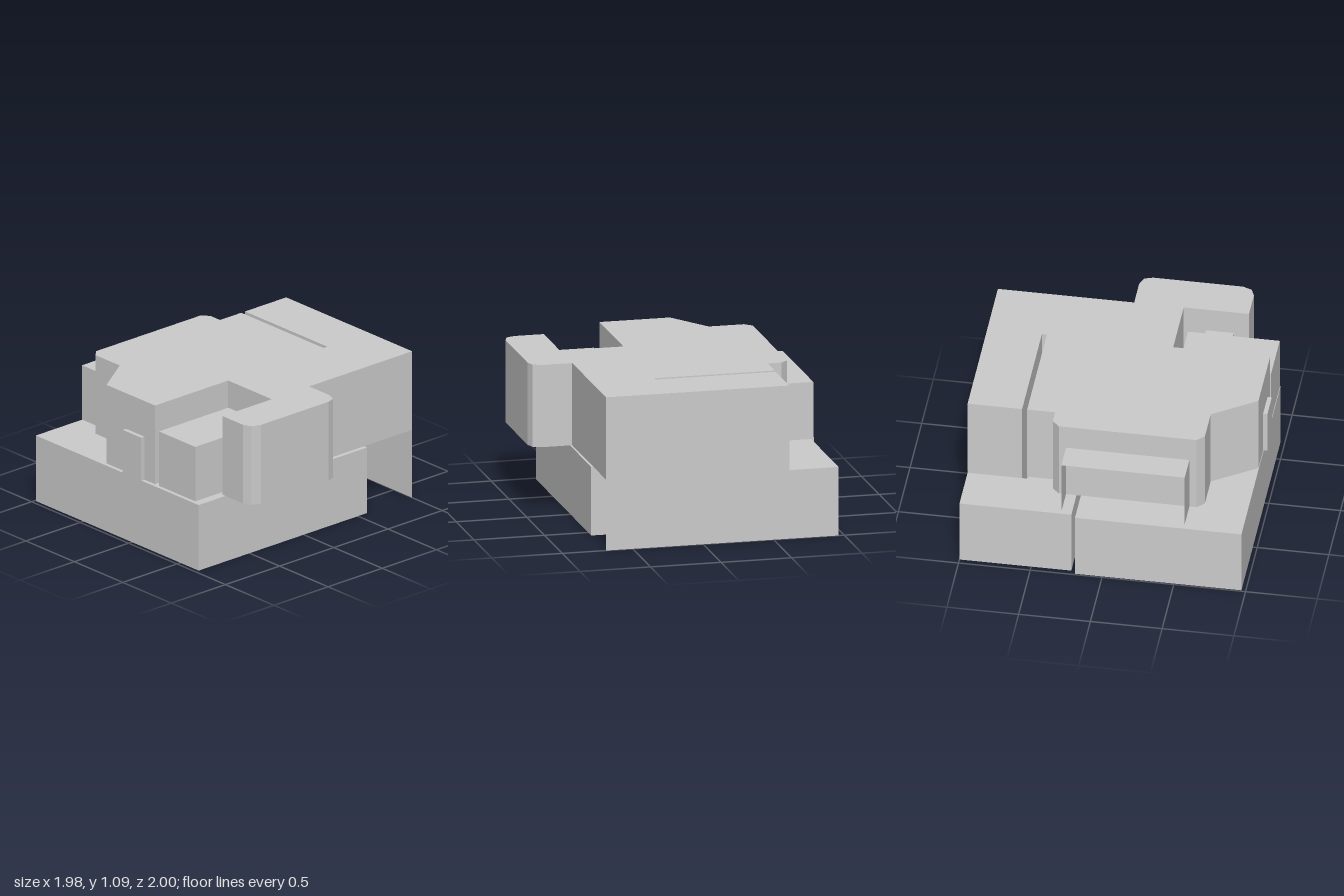
import * as THREE from 'three';

const FLOOR = 0.505, ROOF = 1.09, LEDGE = 0.91;

export function createModel() {
  const model = new THREE.Group();
  const material = new THREE.MeshStandardMaterial({ color: 0xcccccc, flatShading: true });
  const sheetMaterial = material.clone();
  sheetMaterial.side = THREE.DoubleSide;

  const add = (name, geometry, mat = material) => {
    const mesh = new THREE.Mesh(geometry, mat);
    mesh.name = name;
    model.add(mesh);
    return mesh;
  };
  // Upright prism over a floor plan of [x, z] corners
  const storey = (name, plan, y0, y1) => {
    const shape = new THREE.Shape(plan.map(([x, z]) => new THREE.Vector2(x, -z)));
    const geometry = new THREE.ExtrudeGeometry(shape, { depth: y1 - y0, bevelEnabled: false });
    add(name, geometry.rotateX(-Math.PI / 2).translate(0, y0, 0));
  };
  // Box given by its limits
  const block = (name, x0, x1, y0, y1, z0, z1) => {
    const geometry = new THREE.BoxGeometry(x1 - x0, y1 - y0, z1 - z0);
    add(name, geometry.translate((x0 + x1) / 2, (y0 + y1) / 2, (z0 + z1) / 2));
  };
  // Thin upright sheet facing z
  const sheet = (name, x0, x1, y0, y1, z) => {
    const geometry = new THREE.PlaneGeometry(x1 - x0, y1 - y0);
    add(name, geometry.translate((x0 + x1) / 2, (y0 + y1) / 2, z), sheetMaterial);
  };

  // Ground floor, with a narrow slit running in from the side
  storey('groundFloor', [
    [-0.99, 0.97], [0.69, 0.97], [0.69, -0.585], [-0.61, -0.585], [-0.61, -1],
    [-0.96, -1], [-0.96, -0.22], [0.37, -0.22], [0.37, -0.19], [-0.99, -0.19],
  ], 0, 0.488);

  // Upper floor with bay, porch recess, chamfered corners and stair slot
  storey('upperFloor', [
    [-0.61, -1], [0.69, -1], [0.69, -0.05], [0.9, -0.05], [0.965, -0.025], [0.985, 0.035],
    [0.985, 0.66], [0.96, 0.725], [0.9, 0.75], [0.69, 0.75], [0.69, 0.295], [0.24, 0.295],
    [0.24, 0.97], [-0.26, 0.97], [-0.46, 0.67], [-0.71, 0.67], [-0.76, 0.62], [-0.76, -0.34],
    [-0.71, -0.39], [-0.61, -0.39], [-0.61, -0.585], [0.24, -0.585], [0.24, -0.62], [-0.61, -0.62],
  ], FLOOR, ROOF);

  // Stair wedge under the upper floor, sloping down towards -x
  const wedge = new THREE.Shape([
    new THREE.Vector2(-0.61, 0), new THREE.Vector2(0.24, FLOOR), new THREE.Vector2(-0.61, FLOOR),
  ]);
  add('stairWedge', new THREE.ExtrudeGeometry(wedge, { depth: 0.375, bevelEnabled: false })
    .translate(0, 0, -0.997));
  sheet('lowerBackWall', -0.61, 0.69, 0, FLOOR, -1);

  // Porch room with window links to the neighbouring walls
  block('porchRoom', 0.28, 0.655, FLOOR, LEDGE, 0.33, 0.97);
  block('porchWindow', 0.24, 0.28, 0.64, 0.84, 0.45, 0.82);
  block('porchLink', 0.655, 0.69, FLOOR, LEDGE, 0.45, 0.645);

  // Door panel
  block('door', -0.06, 0.13, FLOOR, 0.825, 0.97, 1);

  // Side canopy, open on its outer side
  sheet('canopyBackEnd', -0.96, -0.76, FLOOR, LEDGE, -0.29);
  sheet('canopyFrontEnd', -0.96, -0.76, FLOOR, LEDGE, 0.57);
  add('canopyRoof', new THREE.PlaneGeometry(0.2, 0.86).rotateX(-Math.PI / 2)
    .translate(-0.86, LEDGE, 0.14), sheetMaterial);

  return model;
}
